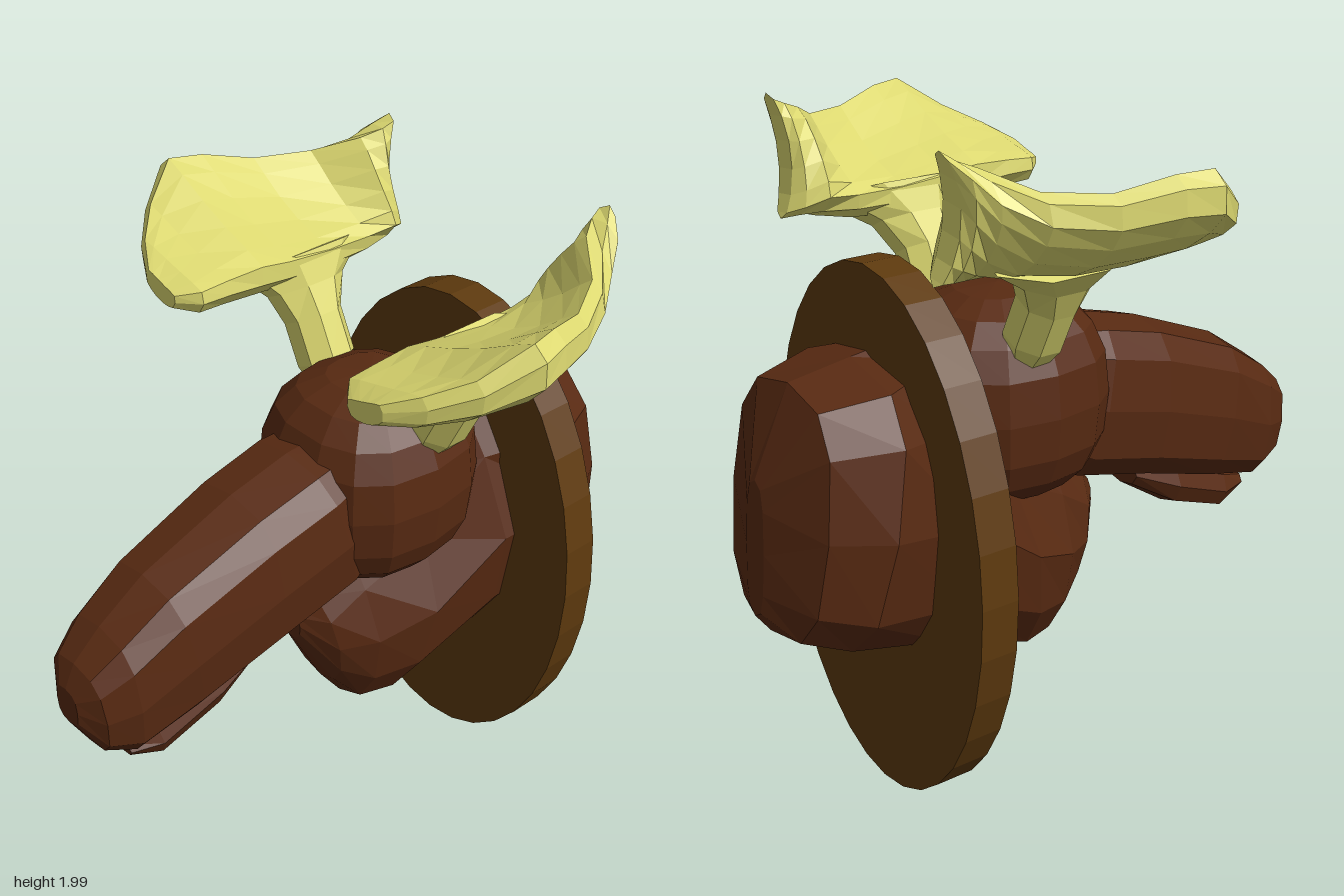
import * as THREE from 'three';

const mat = (color) => new THREE.MeshStandardMaterial({ color, flatShading: true, roughness: 1 });
const power = (v, p) => Math.sign(v) * Math.abs(v) ** p;

// Closed skin over rings of [x, y, z] with an even point count, always facing outward
function loft(rings) {
  const n = rings[0].length;
  const points = rings.flat();
  const faces = [];
  for (let i = 0; i < rings.length - 1; i++) {
    for (let j = 0; j < n; j++) {
      const a = i * n + j, b = i * n + (j + 1) % n;
      faces.push([a, b, b + n], [a, b + n, a + n]);
    }
  }
  // end caps as strips across the ring
  const last = (rings.length - 1) * n;
  for (let j = 0; j < n / 2; j++) {
    const a = j, b = j + 1, c = n - j - 1, d = (n - j) % n;
    for (const [p, q, r] of [[a, b, c], [a, c, d]]) {
      if (p === q || q === r || r === p) continue;
      faces.push([p, r, q], [last + p, last + q, last + r]);
    }
  }
  // the sign of the enclosed volume tells whether the winding must be flipped
  const v = points.map((p) => new THREE.Vector3(...p));
  let volume = 0;
  for (const [a, b, c] of faces) volume += v[a].dot(v[b].clone().cross(v[c]));
  if (volume < 0) faces.forEach((f) => f.reverse());
  const geo = new THREE.BufferGeometry();
  geo.setAttribute('position', new THREE.Float32BufferAttribute(points.flat(), 3));
  geo.setIndex(faces.flat());
  geo.computeVertexNormals();
  return geo;
}

// Rounded ring between a bottom and a top point of the side profile;
// p sets how boxy it is, taper narrows its upper half
function ring([bz, by, tz, ty, w, p = 0.7, taper = 0], n = 12) {
  return Array.from({ length: n }, (_, j) => {
    const a = (j / n) * Math.PI * 2;
    const s = power(Math.sin(a), p);
    const t = 0.5 + 0.5 * s;
    const half = w * (1 - taper * Math.max(0, s));
    return [half * power(Math.cos(a), p), by + (ty - by) * t, bz + (tz - bz) * t];
  });
}

// Cupped, flattened ring across the antler palm, from inner to outer edge
function palmRing([z, xi, yi, xo, yo, thick, sag, notch = 0], side) {
  const dx = xo - xi, dy = yo - yi, len = Math.hypot(dx, dy);
  const nx = dy / len, ny = -dx / len;
  return Array.from({ length: 14 }, (_, j) => {
    const a = (j / 14) * Math.PI * 2;
    const u = 0.5 - 0.5 * Math.cos(a);
    const bow = 4 * u * (1 - u);
    const off = sag * bow + thick * power(Math.sin(a), 0.4);
    return [side * (xi + dx * u + nx * off), yi + dy * u + ny * off, z + notch * bow];
  });
}

export function createModel() {
  const model = new THREE.Group();
  const hide = mat(0x582a12), wood = mat(0x5e3a0e), horn = mat(0xdcd870);
  const add = (name, geo, material, parent = model) => {
    const mesh = new THREE.Mesh(geo, material);
    mesh.name = name;
    parent.add(mesh);
  };

  // Oval wall plaque
  const plaque = new THREE.CylinderGeometry(1, 1, 0.115, 32);
  plaque.rotateX(Math.PI / 2).scale(0.54, 0.805, 1).translate(0, 0.806, -0.513);
  add('plaque', plaque, wood);

  // Neck, running through the plaque and ending in a keel below the head
  add('neck', loft([
    [-0.953, 0.68, -0.925, 1.08, 0.05],
    [-0.91, 0.62, -0.81, 1.33, 0.27],
    [-0.79, 0.575, -0.62, 1.36, 0.36],
    [-0.45, 0.445, -0.4, 1.39, 0.315, 0.9, 0.4],
    [-0.13, 0.32, -0.24, 1.15, 0.275, 1, 0.5],
    [-0.03, 0.33, 0.0, 1.0, 0.205, 1, 0.4],
    [0.05, 0.44, 0.13, 0.86, 0.14, 1],
    [0.165, 0.66, 0.18, 0.8, 0.05, 1],
  ].map((r) => ring(r))), hide);

  // Head: a slightly boxy ball
  const skull = new THREE.SphereGeometry(1, 14, 10);
  const pos = skull.attributes.position;
  for (let i = 0; i < pos.count; i++) {
    pos.setXYZ(i, ...[pos.getX(i), pos.getY(i), pos.getZ(i)].map((c) => power(c, 0.8)));
  }
  skull.scale(0.305, 0.32, 0.3).translate(0, 1.16, -0.14);
  add('skull', skull, hide);

  add('muzzle', loft([
    [-0.05, 0.92, 0.05, 1.34, 0.19],
    [0.05, 0.85, 0.17, 1.33, 0.21],
    [0.33, 0.78, 0.37, 1.28, 0.205],
    [0.6, 0.7, 0.68, 1.16, 0.185],
    [0.81, 0.65, 0.83, 1.06, 0.165],
    [0.9, 0.69, 0.92, 0.98, 0.125],
    [0.955, 0.79, 0.955, 0.91, 0.05],
  ].map((r) => ring(r))), hide);

  add('lowerJaw', loft([
    [0.33, 0.73, 0.33, 0.82, 0.08, 0.9],
    [0.5, 0.62, 0.5, 0.78, 0.1, 0.9],
    [0.7, 0.55, 0.72, 0.69, 0.09, 0.9],
    [0.8, 0.59, 0.81, 0.65, 0.06, 0.9],
  ].map((r) => ring(r, 8))), hide);

  // Antlers: a flared stalk carrying a broad cupped palm
  for (const side of [1, -1]) {
    const antler = new THREE.Group();
    antler.name = side > 0 ? 'leftAntler' : 'rightAntler';
    model.add(antler);

    // centre x, y, z and half sizes in x and z
    const stalk = [
      [0.21, 1.335, -0.185, 0.055, 0.065],
      [0.24, 1.4, -0.185, 0.08, 0.09],
      [0.3, 1.52, -0.185, 0.08, 0.09],
      [0.345, 1.6, -0.195, 0.08, 0.13],
      [0.4, 1.68, -0.22, 0.1, 0.24],
    ].map(([x, y, z, rx, rz]) => Array.from({ length: 8 }, (_, j) => {
      const a = ((j + 0.5) / 8) * Math.PI * 2;
      const c = Math.cos(a) * rx;
      return [side * (x + c), y - c * 0.5, z + Math.sin(a) * rz];
    }));
    add('antlerStalk', loft(stalk), horn, antler);

    // z, inner edge x y, outer edge x y, half thickness, cupping, end notch
    const palm = [
      [0.265, 0.36, 1.69, 0.49, 1.73, 0.03, 0.01],
      [0.21, 0.3, 1.69, 0.59, 1.76, 0.05, 0.015],
      [0.12, 0.295, 1.69, 0.69, 1.81, 0.06, 0.03],
      [0.0, 0.295, 1.68, 0.77, 1.89, 0.08, 0.04],
      [-0.1, 0.295, 1.67, 0.74, 1.89, 0.075, 0.05],
      [-0.25, 0.295, 1.665, 0.68, 1.86, 0.065, 0.05],
      [-0.4, 0.3, 1.665, 0.595, 1.87, 0.065, 0.035],
      [-0.5, 0.32, 1.67, 0.5, 1.92, 0.085, 0.01, 0.01],
      [-0.56, 0.36, 1.66, 0.46, 1.965, 0.07, 0.01, 0.02],
      [-0.6, 0.39, 1.65, 0.43, 1.995, 0.04, 0.01, 0.04],
    ].map((r) => palmRing(r, side));
    add('antlerPalm', loft(palm), horn, antler);
  }
  return model;
}
